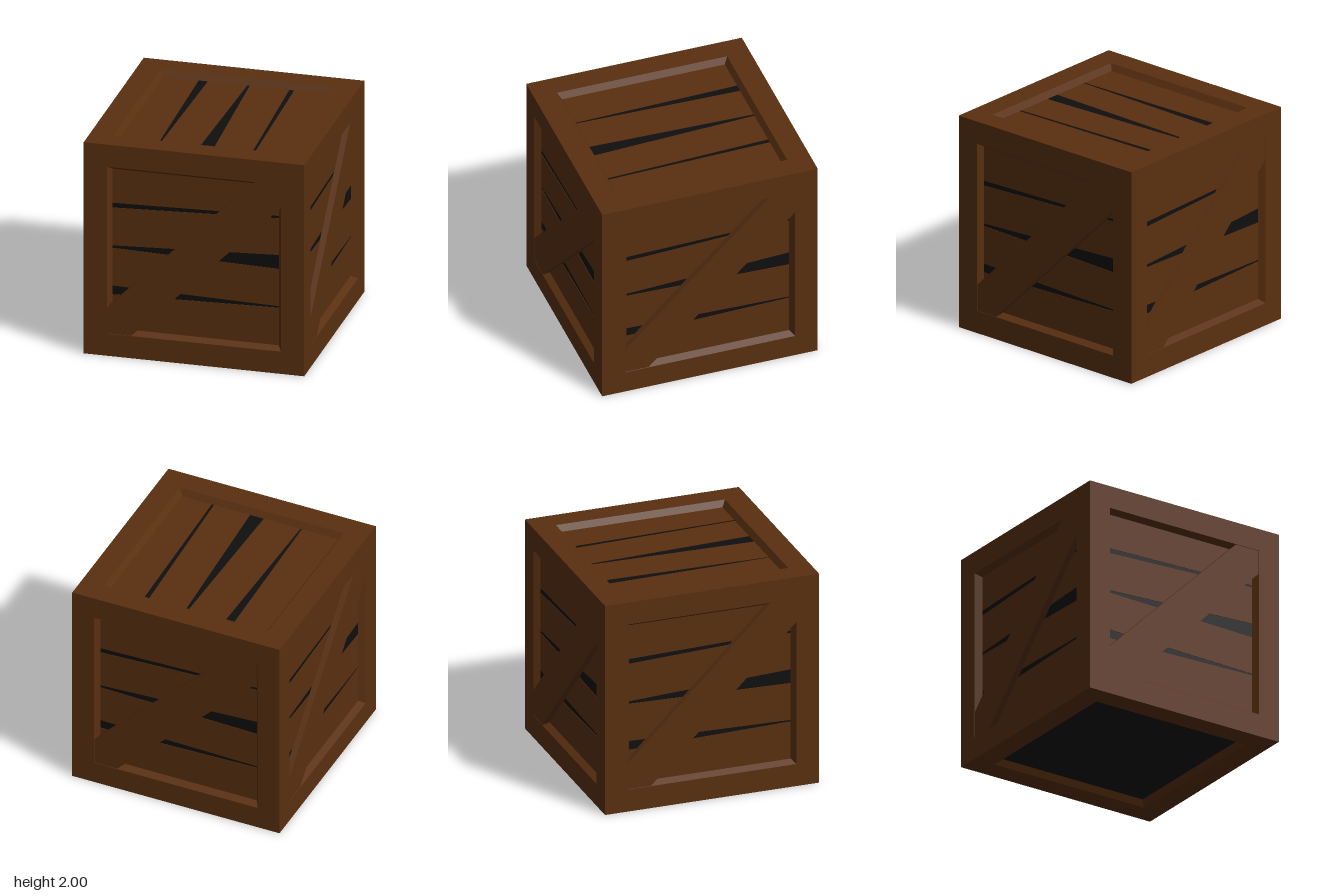
import * as THREE from 'three';

const OPEN = 0.79;    // half-size of the opening at the surface
const INNER = 0.755;  // half-size of the opening at the planks
const FLOOR = 0.944;  // distance of the planks from the centre

const wood = new THREE.MeshStandardMaterial({ color: 0x5a3010 });
wood.name = 'brownWood';
const dark = new THREE.MeshStandardMaterial({ color: 0x0f0f0f });
dark.name = 'darkInterior';

function mesh(name, geometry, material = wood) {
  const m = new THREE.Mesh(geometry, material);
  m.name = name;
  return m;
}

// Flat polygon extruded between two distances from the centre
function slab(points, from, to) {
  const shape = new THREE.Shape(points.map(([x, y]) => new THREE.Vector2(x, y)));
  return new THREE.ExtrudeGeometry(shape, { depth: to - from, bevelEnabled: false }).translate(0, 0, from);
}

// Square frame with a sloping inner edge, facing +z
function frameGeometry() {
  const profile = [[1, 1], [OPEN, 1], [INNER, FLOOR]]
    .map(([half, depth]) => new THREE.Vector2(half * Math.SQRT2, depth));
  const g = new THREE.LatheGeometry(profile, 4, Math.PI / 4).toNonIndexed();
  g.computeVertexNormals();
  return g.rotateX(Math.PI / 2);
}

// Plank edges as [left, right] heights, from bottom to top, with wedge gaps between
const PLANKS = [
  { low: [-INNER, -INNER], high: [-0.437, -0.4] },
  { low: [-0.353, -0.385], high: [0.003, -0.033] },
  { low: [0.027, 0.1], high: [0.385, 0.447] },
  { low: [0.431, 0.47], high: [INNER, INNER] },
];

// Diagonal board from lower left to upper right
const BRACE = [
  [-OPEN, -OPEN], [-0.57, -OPEN], [OPEN, 0.57],
  [OPEN, OPEN], [0.55, OPEN], [-OPEN, -0.545],
];

export function createModel() {
  const crate = new THREE.Group();
  crate.name = 'crate';

  const frame = frameGeometry();
  const brace = slab(BRACE, 0.938, 0.997);
  const planks = PLANKS.map(({ low, high }) => slab(
    [[-INNER, low[0]], [INNER, low[1]], [INNER, high[1]], [-INNER, high[0]]], 0.938, FLOOR));

  function face(name, hasPlanks, hasBrace) {
    const g = new THREE.Group();
    g.name = name;
    g.add(mesh('frame', frame));
    if (hasPlanks) planks.forEach((p, i) => g.add(mesh('plank' + (i + 1), p)));
    if (hasBrace) g.add(mesh('diagonalBrace', brace));
    crate.add(g);
    return g;
  }

  // Four matching sides
  ['frontSide', 'leftSide', 'backSide', 'rightSide'].forEach((name, i) => {
    face(name, true, true).rotation.y = i * Math.PI / 2;
  });

  // Lid with planks running front to back
  const turn = new THREE.Matrix4().makeBasis(
    new THREE.Vector3(0, 0, 1), new THREE.Vector3(1, 0, 0), new THREE.Vector3(0, 1, 0));
  face('lid', true, false).quaternion.setFromRotationMatrix(turn);

  // Underside with frame only
  face('underside', false, false).rotation.x = Math.PI / 2;

  // Dark core seen through the gaps and from below
  crate.add(mesh('darkCore', new THREE.BoxGeometry(1.88, 1.88, 1.88), dark));

  crate.position.y = 1;
  const model = new THREE.Group();
  model.name = 'woodenCrate';
  model.add(crate);
  return model;
}
